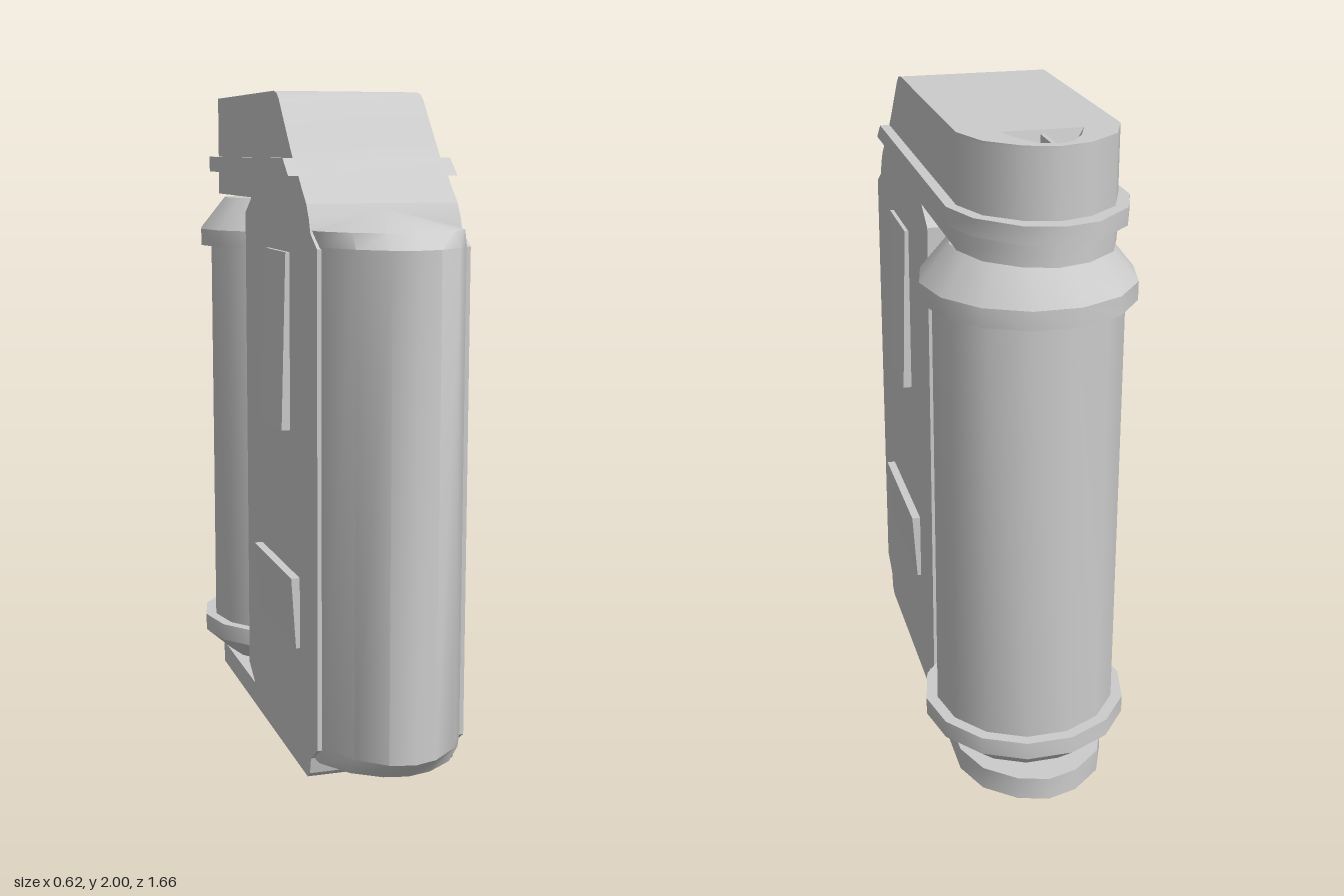
import * as THREE from 'three';
import { toCreasedNormals } from 'three/addons/utils/BufferGeometryUtils.js';

const mat = new THREE.MeshStandardMaterial({ color: 0xcccccc });
const CREASE = 0.6;

function add(parent, name, geo, crease = CREASE) {
  const mesh = new THREE.Mesh(toCreasedNormals(geo, crease), mat);
  mesh.name = name;
  parent.add(mesh);
  return mesh;
}

// Skin a stack of convex rings, each counter-clockwise seen from above
function loft(rings, capStart = true, capEnd = true) {
  const pos = [];
  const tri = (...pts) => pts.forEach((p) => pos.push(...p));
  const n = rings[0].length;
  for (let i = 0; i < rings.length - 1; i++) {
    for (let j = 0; j < n; j++) {
      const k = (j + 1) % n;
      const [a, b, c, d] = [rings[i][j], rings[i][k], rings[i + 1][k], rings[i + 1][j]];
      tri(a, b, c);
      tri(a, c, d);
    }
  }
  const last = rings[rings.length - 1];
  for (let j = 1; j < n - 1; j++) {
    if (capStart) tri(rings[0][0], rings[0][j + 1], rings[0][j]);
    if (capEnd) tri(last[0], last[j], last[j + 1]);
  }
  const geo = new THREE.BufferGeometry();
  geo.setAttribute('position', new THREE.Float32BufferAttribute(pos, 3));
  return geo;
}

// Mirror a half outline of [x, z] points whose last point lies on x = 0
const mirrored = (half) => [...half, ...half.slice(0, -1).reverse().map(([x, z]) => [-x, z])];
const atHeight = (plan, y) => plan.map(([x, z]) => [x, y, z]);

// Plans with a straight front edge and a rounded back
const headPlan = (front) => mirrored([[0.225, front], [0.225, -0.57], [0.18, -0.68], [0.09, -0.755], [0, -0.78]]);
const bandPlan = (front) => mirrored([[0.255, front], [0.255, -0.58], [0.21, -0.7], [0.1, -0.805], [0, -0.83]]);

const toShape = (pts) => new THREE.Shape(pts.map(([x, y]) => new THREE.Vector2(x, y)));

export function createModel() {
  const model = new THREE.Group();
  model.name = 'device';

  // Slab body: side profile (z, y) extruded across the width
  const profile = toShape([
    [0.52, 0], [0.545, 0.02], [0.555, 0.07], [0.625, 0.12], [0.625, 1.56], [0.56, 1.6],
    [0.545, 1.64], [0.52, 1.68], [-0.11, 1.68], [-0.19, 1.63], [-0.19, 0.12], [-0.11, 0.07], [-0.11, 0],
  ]);
  const body = new THREE.ExtrudeGeometry(profile, { depth: 0.45, bevelEnabled: false });
  body.translate(0, 0, -0.225).rotateY(-Math.PI / 2);
  add(model, 'body', body);

  // Head with a sloping front
  const slope = [[1.68, 0.52], [1.72, 0.475], [1.755, 0.44], [1.805, 0.38], [1.86, 0.33], [1.975, 0.23], [1.993, 0.205], [2, 0.17]];
  const head = new THREE.Group();
  head.name = 'head';
  model.add(head);
  add(head, 'headShell', loft(slope.map(([y, z]) => atHeight(headPlan(z), y)), true, false));

  // Head top with an arched opening, the recess under it and its divider
  const arch = mirrored([[0.115, -0.597], [0.085, -0.675], [0.045, -0.735], [0, -0.752]]);
  const archFloor = mirrored([[0.08, -0.61], [0.062, -0.67], [0.035, -0.715], [0, -0.73]]);
  const flip = ([x, z]) => [x, -z];
  const topShape = toShape(headPlan(0.17).map(flip));
  topShape.holes.push(toShape(arch.map(flip)));
  add(head, 'headTop', new THREE.ShapeGeometry(topShape).rotateX(-Math.PI / 2).translate(0, 2, 0));
  add(head, 'recess', loft([atHeight(arch, 2), atHeight(archFloor, 1.95)], false, true), 0.3);
  add(head, 'recessDivider', new THREE.BoxGeometry(0.012, 0.04, 0.14).translate(0, 1.97, -0.673));

  // Raised band around the head
  add(head, 'headBand', loft([atHeight(bandPlan(0.44), 1.755), atHeight(bandPlan(0.38), 1.805)]));

  // Foot plate under the rear cylinder
  add(model, 'footPlate', loft([atHeight(headPlan(0.4), 0), atHeight(headPlan(0.4), 0.072)]));

  // Rounded front column with sloping ends
  const frontPlan = mirrored([[-0.218, 0.55], [-0.215, 0.62], [-0.15, 0.74], [-0.07, 0.808], [0, 0.828]]);
  const inset = frontPlan.map(([x, z]) => [x, 0.55 + (z - 0.55) * 0.8]);
  const apex = frontPlan.map(() => [0, 0.535]);
  add(model, 'frontColumn', loft([
    atHeight(apex, 0.04), atHeight(inset, 0.075), atHeight(frontPlan, 0.13),
    atHeight(frontPlan, 1.565), atHeight(inset, 1.608), atHeight(apex, 1.665),
  ]));

  // Rear cylinder with a collar and a tapered end at top and bottom
  const lathe = [
    [0, 0.08], [0.225, 0.08], [0.31, 0.155], [0.31, 0.21], [0.275, 0.21],
    [0.275, 1.51], [0.31, 1.51], [0.31, 1.565], [0.225, 1.67], [0, 1.67],
  ].map(([r, y]) => new THREE.Vector2(r, y));
  const canister = new THREE.LatheGeometry(lathe, 14, Math.PI / 2);
  add(model, 'rearCylinder', canister.translate(0, 0, -0.477));

  // Side panels, each thinner towards its outer end
  const panels = [
    { name: 'upperPanel', y: [1.01, 1.535], z: [0.1, 0.34], thickEnd: -1 },
    { name: 'lowerPanel', y: [0.37, 0.585], z: [0, 0.44], thickEnd: 1 },
  ];
  for (const { name, y, z, thickEnd } of panels) {
    for (const side of [1, -1]) {
      const geo = new THREE.BoxGeometry(0.04, y[1] - y[0], z[1] - z[0]);
      const p = geo.attributes.position;
      for (let i = 0; i < p.count; i++) {
        if (p.getX(i) * side > 0 && p.getY(i) * thickEnd < 0) p.setX(i, side * 0.006);
      }
      geo.translate(side * 0.231, (y[0] + y[1]) / 2, (z[0] + z[1]) / 2);
      add(model, (side > 0 ? 'left' : 'right') + name[0].toUpperCase() + name.slice(1), geo, 0.3);
    }
  }

  return model;
}
